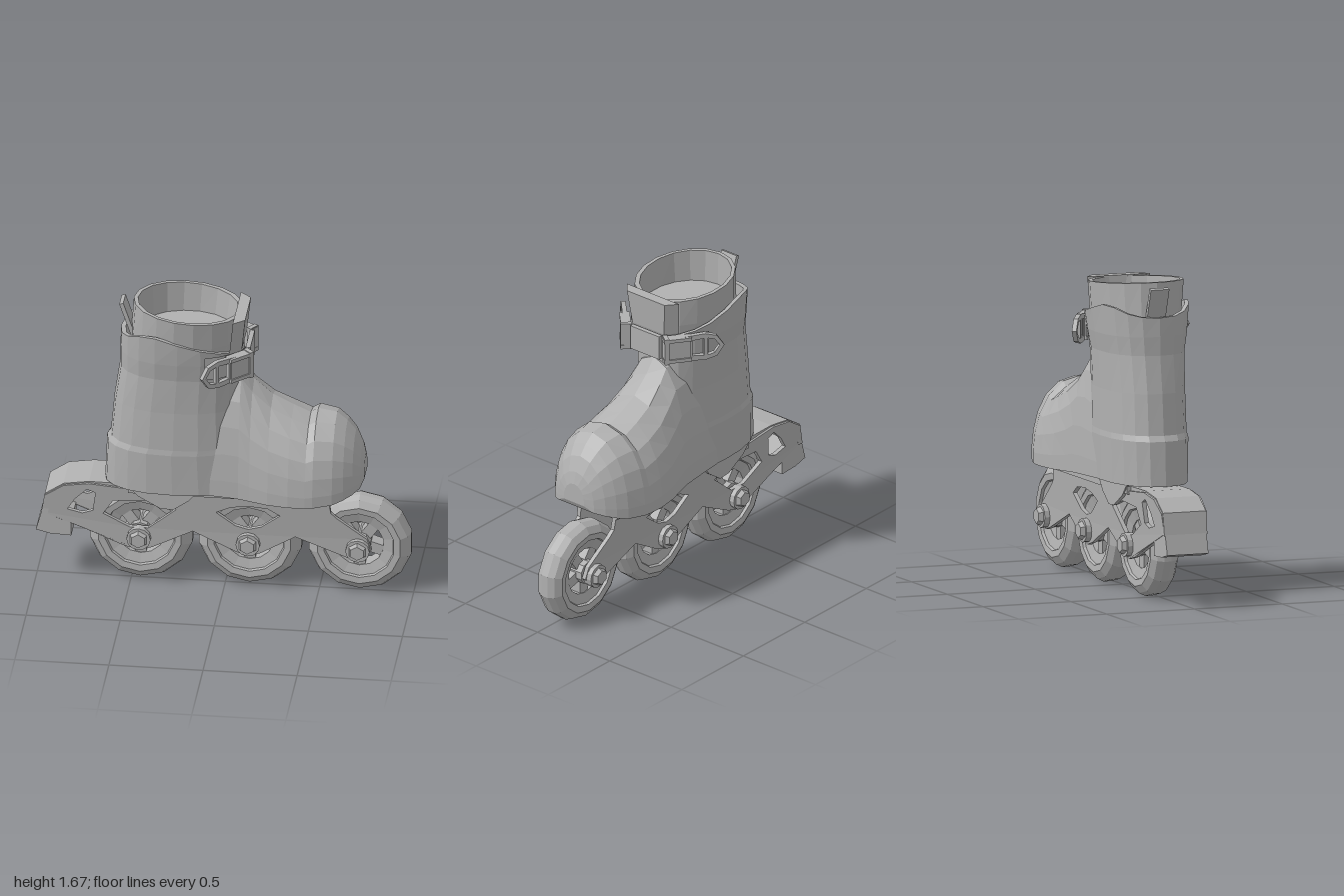
import * as THREE from 'three';

const grey = new THREE.MeshStandardMaterial({ color: 0xb0b0b0, flatShading: true, side: THREE.DoubleSide });
grey.name = 'grey';
const FRAME_Z = -0.036; // centre line of the frame and wheels

function add(parent, name, geometry, x = 0, y = 0, z = 0) {
  const mesh = new THREE.Mesh(geometry, grey);
  mesh.name = name;
  mesh.position.set(x, y, z);
  parent.add(mesh);
  return mesh;
}

// Skin a surface over rings of [x, y, z] points
function loft(rings, capStart, capEnd) {
  const n = rings[0].length, pos = [];
  const tri = (a, b, c) => pos.push(...a, ...b, ...c);
  for (let i = 0; i < rings.length - 1; i++) {
    for (let j = 0; j < n; j++) {
      const k = (j + 1) % n, r = rings[i], s = rings[i + 1];
      tri(r[j], r[k], s[k]);
      tri(r[j], s[k], s[j]);
    }
  }
  const cap = (ring, flip) => {
    const mid = [0, 1, 2].map(d => ring.reduce((sum, p) => sum + p[d], 0) / n);
    for (let j = 0; j < n; j++) {
      const k = (j + 1) % n;
      if (flip) tri(mid, ring[k], ring[j]); else tri(mid, ring[j], ring[k]);
    }
  };
  if (capStart) cap(rings[0], true);
  if (capEnd) cap(rings[rings.length - 1], false);
  const g = new THREE.BufferGeometry();
  g.setAttribute('position', new THREE.Float32BufferAttribute(pos, 3));
  g.computeVertexNormals();
  return g;
}

// Horizontal rounded ring; height may depend on c (-1 back, 1 front)
function ring(back, front, halfZ, height, zc = -0.015, n = 20, power = 0.85) {
  const soft = v => Math.sign(v) * Math.abs(v) ** power;
  return Array.from({ length: n }, (_, j) => {
    const a = j / n * Math.PI * 2, c = soft(Math.cos(a)), s = soft(Math.sin(a));
    const y = typeof height === 'function' ? height(c) : height;
    return [(back + front) / 2 + (front - back) / 2 * c, y, zc - halfZ * s];
  });
}

// Flat plate centred on z = 0
function plate(points, depth, holes = []) {
  const toPath = p => p.map(([x, y]) => new THREE.Vector2(x, y));
  const shape = new THREE.Shape(toPath(points));
  holes.forEach(h => shape.holes.push(new THREE.Path(toPath(h))));
  return new THREE.ExtrudeGeometry(shape, { depth, bevelEnabled: false }).translate(0, 0, -depth / 2);
}

function buildBoot(boot) {
  // Heel and ankle shell with a scalloped, folded rim
  const rim = c => (c < -0.5 ? 1.5 + 0.14 * (c + 1) : 1.57 - 0.085 * (c + 0.5));
  add(boot, 'ankleShell', loft([
    ring(-0.64, 0.12, 0.215, 0.612),
    ring(-0.63, 0.1, 0.222, 0.85),
    ring(-0.61, 0.1, 0.218, 0.88),
    ring(-0.59, 0.09, 0.215, 1.1),
    ring(-0.56, 0.09, 0.222, 1.3),
    ring(-0.56, 0.1, 0.24, 1.4),
    ring(-0.555, 0.1, 0.255, rim),
    ring(-0.53, 0.08, 0.235, rim),
    ring(-0.52, 0.07, 0.22, 1.35),
  ], true, false));

  // Foot: x, bottom, top, half width
  const stations = [
    [-0.25, 0.612, 1.2, 0.19], [0, 0.61, 1.31, 0.215], [0.09, 0.608, 1.3, 0.225], [0.15, 0.606, 1.22, 0.24],
    [0.25, 0.605, 1.13, 0.27], [0.36, 0.605, 1.075, 0.286], [0.45, 0.605, 1.035, 0.284], [0.49, 0.607, 1.062, 0.28],
    [0.59, 0.615, 1.045, 0.248], [0.645, 0.63, 1.0, 0.215], [0.69, 0.645, 0.945, 0.175], [0.725, 0.66, 0.865, 0.125],
    [0.742, 0.69, 0.8, 0.07],
  ];
  const half = [[1, 0], [1, 0.14], [0.96, 0.36], [0.86, 0.58], [0.68, 0.78], [0.38, 0.94]];
  const section = [...half.map(([w, h]) => [-w, h]), [0, 1], ...half.slice().reverse()];
  add(boot, 'foot', loft(stations.map(([x, lo, hi, w]) =>
    section.map(([u, v]) => [x, lo + (hi - lo) * v, -0.032 + u * w])), true, true));

  // Padded liner with a floor inside
  const lip = c => 1.66 - 0.02 * c;
  add(boot, 'liner', loft([
    ring(-0.51, 0.08, 0.215, 1.35, -0.01, 18, 1),
    ring(-0.5, 0.1, 0.232, 1.5, -0.01, 18, 1),
    ring(-0.487, 0.1, 0.246, lip, -0.005, 18, 1),
    ring(-0.465, 0.07, 0.225, lip, -0.005, 18, 1),
    ring(-0.46, 0.05, 0.215, 1.5, -0.005, 18, 1),
  ], false, true));

  // Tongue and rear pull tab
  add(boot, 'tongue', loft([
    [0.05, 1.3, 0.08], [0.1, 1.46, 0.11], [0.12, 1.648, 0.13],
  ].map(([x, y, w]) => [[x, y, w], [x, y, -w], [x - 0.06, y, -w - 0.05], [x - 0.06, y, w + 0.05]]), true, true));
  add(boot, 'pullTab', new THREE.BoxGeometry(0.022, 0.2, 0.105), -0.517, 1.56, -0.015).rotation.z = 0.33;

  // Ankle strap round the front
  const strap = new THREE.CylinderGeometry(1, 1, 0.13, 10, 1, true, Math.PI * 0.13, Math.PI * 0.74);
  add(boot, 'ankleStrap', strap.scale(0.37, 1, 0.272), -0.23, 1.395, -0.015);
  add(boot, 'strapFront', new THREE.BoxGeometry(0.025, 0.135, 0.2), 0.13, 1.395, -0.012);
}

// Buckle along its own +x: clasp first, then an open pull loop
function buildBuckle(boot, name, from, to) {
  const g = new THREE.Group();
  g.name = name;
  g.position.set(from[0], 1.39, from[1]);
  g.rotation.y = Math.atan2(from[1] - to[1], to[0] - from[0]);
  const loop = [[0.1, -0.07], [0.22, -0.078], [0.285, -0.06], [0.325, 0], [0.285, 0.06], [0.22, 0.078], [0.1, 0.07]];
  const holes = [
    [[0.15, -0.045], [0.15, 0.045], [0.215, 0.05], [0.215, -0.05]],
    [[0.235, -0.05], [0.235, 0.05], [0.272, 0.04], [0.3, 0], [0.272, -0.04]],
  ];
  add(g, 'pullLoop', plate(loop, 0.025, holes));
  add(g, 'claspBody', new THREE.BoxGeometry(0.14, 0.1, 0.04), 0.07, 0, 0);
  for (const s of [-1, 1]) add(g, 'claspRail', new THREE.BoxGeometry(0.15, 0.02, 0.055), 0.07, s * 0.06, 0);
  add(g, 'claspBar', new THREE.BoxGeometry(0.025, 0.15, 0.06), 0.01, 0, 0);
  boot.add(g);
}

function buildFrame(frame) {
  const outline = [
    [0.56, 0.575], [0.57, 0.5], [0.6, 0.47], [0.76, 0.35], [0.785, 0.285], [0.715, 0.215], [0.66, 0.23],
    [0.38, 0.34], [0.195, 0.23], [0.13, 0.21], [0.065, 0.23], [-0.165, 0.34], [-0.38, 0.23], [-0.45, 0.21],
    [-0.53, 0.23], [-0.74, 0.32], [-0.965, 0.41], [-0.945, 0.515], [-0.85, 0.58], [-0.715, 0.6], [-0.5, 0.58],
  ];
  const holes = [
    [[-0.83, 0.435], [-0.79, 0.5], [-0.725, 0.565], [-0.68, 0.545], [-0.695, 0.435], [-0.75, 0.415]],
    [[-0.64, 0.42], [-0.585, 0.505], [-0.4, 0.515], [-0.25, 0.47], [-0.4, 0.345], [-0.5, 0.345]],
    [[-0.04, 0.465], [0.035, 0.5], [0.125, 0.515], [0.235, 0.505], [0.3, 0.465], [0.2, 0.39], [0.13, 0.37], [0.06, 0.39]],
  ];
  const wing = [[-0.51, 0.61], [-0.45, 0.55], [-0.335, 0.485], [-0.265, 0.48], [-0.18, 0.54], [-0.12, 0.61]];
  for (const s of [-1, 1]) {
    // Side plates lean outwards towards the top
    const side = plate(outline, 0.024, holes), p = side.attributes.position;
    for (let i = 0; i < p.count; i++) p.setZ(i, p.getZ(i) + s * (0.1 + Math.max(0, p.getY(i) - 0.3) * 0.08));
    side.computeVertexNormals();
    add(frame, 'sidePlate', side);
    add(frame, 'heelMount', plate(wing, 0.02), 0, 0, s * 0.142);
  }
  add(frame, 'topRail', new THREE.BoxGeometry(1.07, 0.042, 0.29), 0.03, 0.584, 0);

  // Tail cover and brake pad
  add(frame, 'tailCover', plate([[-0.97, 0.4], [-0.95, 0.52], [-0.85, 0.587], [-0.715, 0.607], [-0.5, 0.605],
    [-0.5, 0.575], [-0.71, 0.575], [-0.83, 0.555], [-0.915, 0.5], [-0.935, 0.4]], 0.245));
  add(frame, 'brakePad', plate([[-0.965, 0.42], [-0.998, 0.3], [-0.92, 0.28], [-0.81, 0.275], [-0.81, 0.36]], 0.235));
}

function buildWheel(parent, x) {
  const g = new THREE.Group();
  g.name = 'wheel';
  g.position.set(x, 0.287, 0);
  const profile = [[0.13, -0.045], [0.185, -0.06], [0.19, -0.075], [0.225, -0.079], [0.262, -0.055], [0.279, -0.02]];
  const mirrored = profile.map(([r, z]) => [r, -z]).reverse();
  const points = [...profile, ...mirrored, profile[0]].map(([r, z]) => new THREE.Vector2(r, z));
  add(g, 'tyre', new THREE.LatheGeometry(points, 14).rotateX(Math.PI / 2));
  add(g, 'hub', new THREE.CylinderGeometry(0.065, 0.065, 0.15, 10).rotateX(Math.PI / 2));
  for (let i = 0; i < 5; i++) {
    const spoke = new THREE.BoxGeometry(0.1, 0.06, 0.08).translate(0.095, 0, 0);
    add(g, 'spoke', spoke).rotation.z = -Math.PI / 2 + i * Math.PI * 0.4;
  }
  // Axle bolts on both sides
  for (const s of [-1, 1]) {
    add(g, 'axleWasher', new THREE.CylinderGeometry(0.064, 0.064, 0.05, 12).rotateX(Math.PI / 2), 0, 0, s * 0.118);
    const nut = new THREE.CylinderGeometry(s > 0 ? 0.04 : 0.054, s > 0 ? 0.054 : 0.04, 0.03, 6);
    add(g, 'axleNut', nut.rotateX(Math.PI / 2), 0, 0, s * 0.152);
  }
  parent.add(g);
}

export function createModel() {
  const model = new THREE.Group();
  model.name = 'inlineSkate';
  const boot = new THREE.Group();
  boot.name = 'boot';
  buildBoot(boot);
  buildBuckle(boot, 'leftBuckle', [0.145, 0.115], [-0.085, 0.335]);
  buildBuckle(boot, 'rightBuckle', [0.135, -0.14], [-0.135, -0.335]);
  const chassis = new THREE.Group();
  chassis.name = 'chassis';
  chassis.position.z = FRAME_Z;
  buildFrame(chassis);
  for (const x of [-0.45, 0.13, 0.713]) buildWheel(chassis, x);
  model.add(boot, chassis);
  return model;
}
